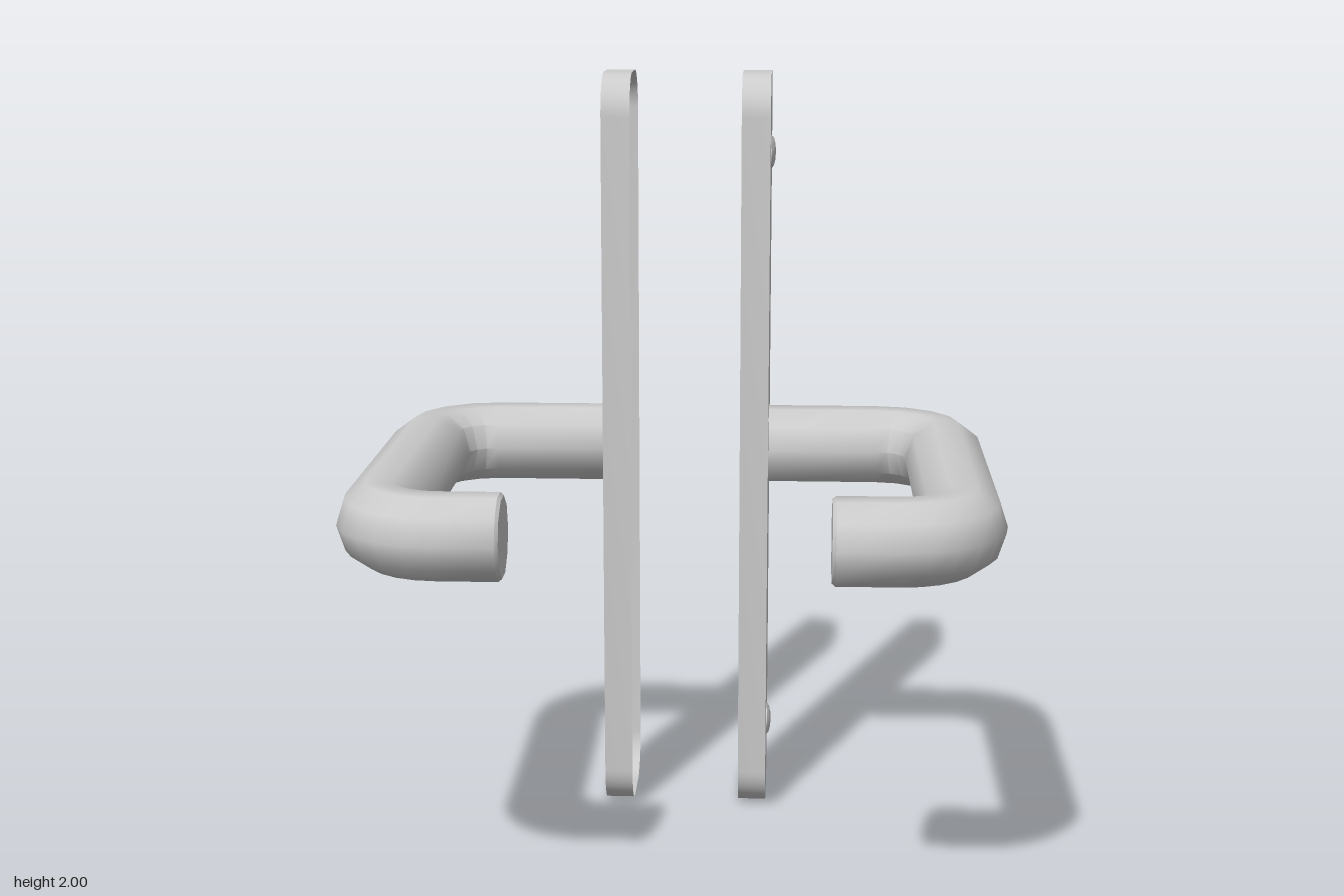
import * as THREE from 'three';
import { toCreasedNormals } from 'three/addons/utils/BufferGeometryUtils.js';

const material = new THREE.MeshStandardMaterial({ color: 0xcccccc, side: THREE.DoubleSide });

function part(name, geometry) {
  const mesh = new THREE.Mesh(geometry, material);
  mesh.name = name;
  return mesh;
}

// Rounded upright rectangle, centred on the origin
function plateShape(w, h, r) {
  const s = new THREE.Shape();
  s.absarc(w - r, h - r, r, 0, Math.PI / 2);
  s.absarc(r - w, h - r, r, Math.PI / 2, Math.PI);
  s.absarc(r - w, r - h, r, Math.PI, Math.PI * 1.5);
  s.absarc(w - r, r - h, r, Math.PI * 1.5, Math.PI * 2);
  s.closePath();
  return s;
}

// Thin skirt running back from an outline
function skirtGeometry(points, depth) {
  const pos = [], index = [];
  points.forEach((p, i) => {
    pos.push(p.x, p.y, 0, p.x, p.y, -depth);
    if (i < points.length - 1) {
      const a = i * 2;
      index.push(a, a + 1, a + 2, a + 1, a + 3, a + 2);
    }
  });
  const g = new THREE.BufferGeometry();
  g.setAttribute('position', new THREE.Float32BufferAttribute(pos, 3));
  g.setIndex(index);
  return toCreasedNormals(g, 0.6);
}

// Ten-sided tube swept through stations [x, z, heading, radius], capped at its end
function leverGeometry(stations, sides = 10) {
  const pos = [], index = [];
  stations.forEach(([x, z, a, r], i) => {
    for (let j = 0; j < sides; j++) {
      const t = (j / sides) * Math.PI * 2;
      const out = r * Math.cos(t);
      pos.push(x + out * Math.sin(a), r * Math.sin(t), z - out * Math.cos(a));
      if (i < stations.length - 1) {
        const k = (j + 1) % sides;
        const p = i * sides + j, q = i * sides + k;
        index.push(p, p + sides, q, q, p + sides, q + sides);
      }
    }
  });
  const last = (stations.length - 1) * sides;
  for (let j = 1; j < sides - 1; j++) index.push(last, last + j + 1, last + j);
  const g = new THREE.BufferGeometry();
  g.setAttribute('position', new THREE.Float32BufferAttribute(pos, 3));
  g.setIndex(index);
  return toCreasedNormals(g, 0.69);
}

// Bend through a quarter turn, starting at the given heading
function bend(cx, cz, radius, start, r, steps) {
  return Array.from({ length: steps + 1 }, (_, i) => {
    const a = start + (i / steps) * Math.PI / 2;
    return [cx + radius * Math.sin(a), cz - radius * Math.cos(a), a, r];
  });
}

function createSide() {
  const side = new THREE.Group();

  // Hollow backplate, open towards the door
  const plate = new THREE.Group();
  plate.name = 'backplate';
  plate.rotation.y = Math.PI / 2;
  plate.position.set(0.22, 0, -0.495);
  const shape = plateShape(0.167, 1, 0.11);
  plate.add(part('plateFace', new THREE.ShapeGeometry(shape, 6)));
  plate.add(part('plateRim', skirtGeometry(shape.getPoints(6), 0.075)));

  // Domed screws with open sleeves behind the face
  const profile = [[0.043, -0.03], [0.043, 0.002], [0.036, 0.007], [0.02, 0.011], [0, 0.012]]
    .map(([x, y]) => new THREE.Vector2(x, y));
  const screwGeometry = toCreasedNormals(new THREE.LatheGeometry(profile, 16).rotateX(Math.PI / 2), 0.6);
  for (const y of [-0.79, 0.79]) {
    const screw = part('screw', screwGeometry);
    screw.position.y = y;
    plate.add(screw);
  }
  side.add(plate);

  // Return-to-door lever
  const r = 0.104;
  side.add(part('lever', leverGeometry([
    [0.215, -0.495, 0, r],
    ...bend(0.51, -0.318, 0.177, 0, r, 4),
    ...bend(0.534, 0.4, 0.153, Math.PI / 2, r, 6),
    [0.386, 0.553, Math.PI, r],
    [0.378, 0.553, Math.PI, r - 0.007],
  ])));
  return side;
}

export function createModel() {
  const model = new THREE.Group();
  model.name = 'doorHandleSet';
  // Each side is symmetric about mid-height, so a half turn mirrors it
  [['leftHandle', 0], ['rightHandle', Math.PI]].forEach(([name, turn]) => {
    const side = createSide();
    side.name = name;
    side.position.y = 1;
    side.rotation.z = turn;
    model.add(side);
  });
  return model;
}
